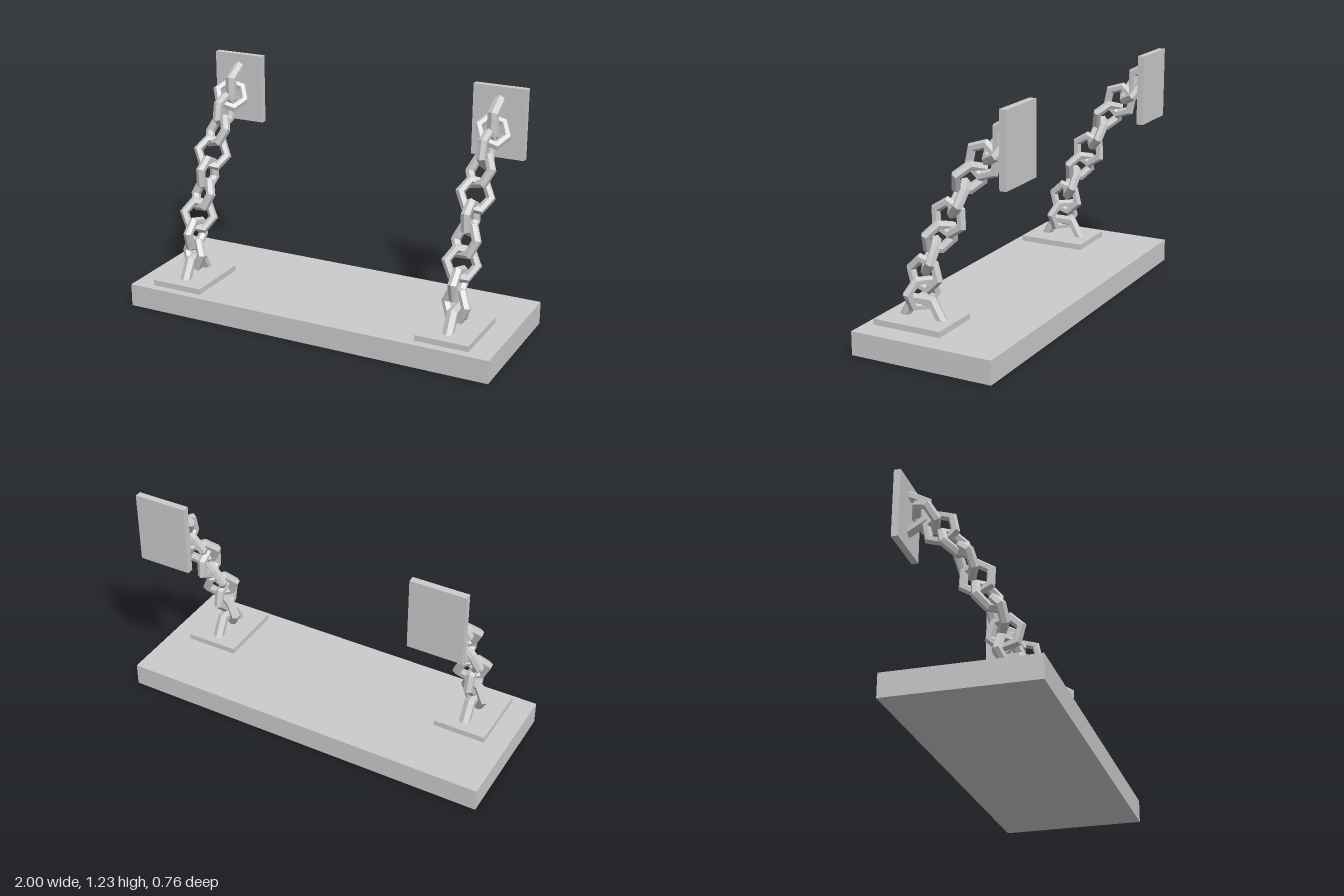
import * as THREE from 'three';

const material = new THREE.MeshStandardMaterial({ color: 0xcccccc, flatShading: true });

function addMesh(parent, name, geometry, x = 0, y = 0, z = 0) {
  const mesh = new THREE.Mesh(geometry, material);
  mesh.name = name;
  mesh.position.set(x, y, z);
  parent.add(mesh);
  return mesh;
}

// Link centres as [z, y], from the board up to the wall
const linkCentres = [
  [0.155, 0.265], [0.137, 0.365], [0.1, 0.46], [0.05, 0.56], [0, 0.66],
  [-0.055, 0.76], [-0.115, 0.865], [-0.185, 0.955], [-0.26, 1.025],
];

const linkGeometry = new THREE.TorusGeometry(0.077, 0.025, 6, 6);
const anchorGeometry = new THREE.TorusGeometry(0.101, 0.03, 6, 3, Math.PI);

function createBracket(name, x) {
  const bracket = new THREE.Group();
  bracket.name = name;
  bracket.position.x = x;

  // Mounting plates
  addMesh(bracket, 'boardPlate', new THREE.BoxGeometry(0.28, 0.03, 0.365), 0, 0.135, 0.157);
  addMesh(bracket, 'wallPlate', new THREE.BoxGeometry(0.28, 0.365, 0.035), 0, 1.048, -0.363);

  // Half-hexagon loops rising out of the plates
  const boardAnchor = addMesh(bracket, 'boardAnchor', anchorGeometry, 0, 0.146, 0.148);
  boardAnchor.rotation.y = Math.PI / 2;
  const wallAnchor = addMesh(bracket, 'wallAnchor', anchorGeometry, 0, 1.06, -0.35);
  wallAnchor.rotation.set(Math.PI / 2, Math.PI / 2, 0, 'XYZ');

  // Chain: each link follows the path and twists 60 degrees from the last
  const chain = new THREE.Group();
  chain.name = 'chain';
  bracket.add(chain);
  const points = linkCentres.map(([z, y]) => new THREE.Vector3(0, y, z));
  const side = new THREE.Vector3(1, 0, 0);
  points.forEach((p, i) => {
    const before = points[Math.max(i - 1, 0)];
    const after = points[Math.min(i + 1, points.length - 1)];
    const along = after.clone().sub(before).normalize();
    const back = new THREE.Vector3(0, along.z, -along.y);
    const twist = (i - 7) * Math.PI / 3;
    const across = back.multiplyScalar(Math.cos(twist)).addScaledVector(side, Math.sin(twist));
    const normal = across.clone().cross(along);
    const link = addMesh(chain, 'link' + (i + 1), linkGeometry, p.x, p.y, p.z);
    link.quaternion.setFromRotationMatrix(new THREE.Matrix4().makeBasis(across, along, normal));
  });
  return bracket;
}

export function createModel() {
  const model = new THREE.Group();
  model.name = 'hangingShelf';
  addMesh(model, 'board', new THREE.BoxGeometry(2, 0.12, 0.75), 0, 0.06, 0.009);
  model.add(createBracket('rightBracket', -0.745), createBracket('leftBracket', 0.74));
  return model;
}
